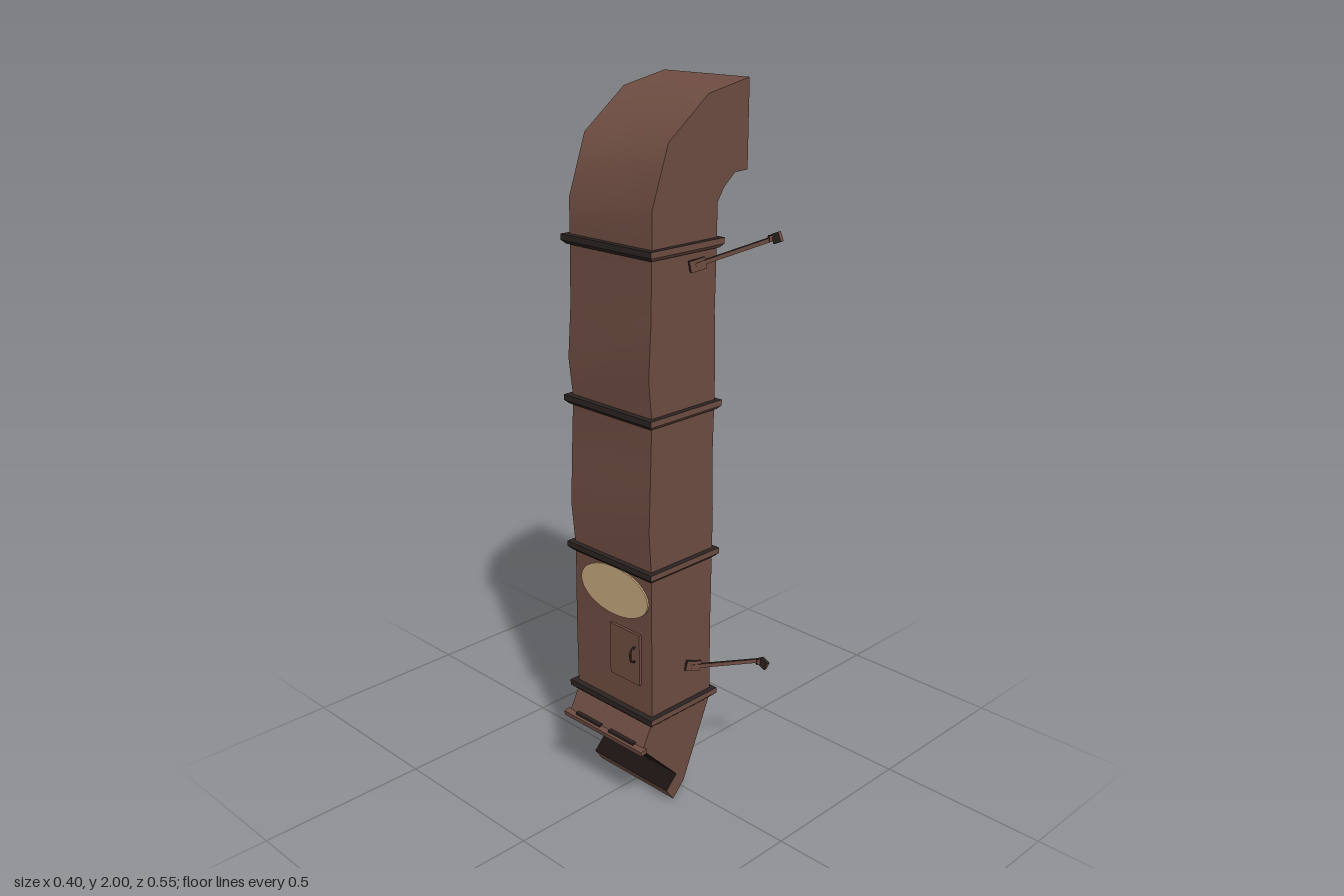
import * as THREE from 'three';
import { toCreasedNormals } from 'three/addons/utils/BufferGeometryUtils.js';

function material(name, color) {
  const m = new THREE.MeshStandardMaterial({ color, side: THREE.DoubleSide });
  m.name = name;
  return m;
}
const brown = material('brown painted metal', 0x6d4c41);
const dark = material('dark metal', 0x2b2321);
const black = material('blackened metal', 0x1b1412);
const tan = material('tan patch', 0xc2a57c);

// Four-cornered cross-section: left and right edge points [x, y], and half depth
const section = (l, r, zf = 0.15, zb = zf) => [
  [l[0], l[1], zf], [r[0], r[1], zf], [r[0], r[1], -zb], [l[0], l[1], -zb],
];
const level = (y, xl, xr, zf, zb) => section([xl, y], [xr, y], zf, zb);

// Open skin through a row of cross-sections
function loft(sections) {
  const pos = [];
  for (let j = 0; j < sections.length - 1; j++) {
    for (let i = 0; i < 4; i++) {
      const k = (i + 1) % 4, s = sections[j], t = sections[j + 1];
      pos.push(...s[i], ...s[k], ...t[k], ...s[i], ...t[k], ...t[i]);
    }
  }
  const g = new THREE.BufferGeometry();
  g.setAttribute('position', new THREE.Float32BufferAttribute(pos, 3));
  return toCreasedNormals(g, 0.7);
}

function add(parent, name, geometry, mat = brown) {
  const m = new THREE.Mesh(geometry, mat);
  m.name = name;
  parent.add(m);
  return m;
}

// Two-colour part: faces whose normal passes the test are brown, the rest take the other colour
function addSplit(parent, name, geometry, isBrown, other = dark) {
  const g = geometry.index ? geometry.toNonIndexed() : geometry;
  const n = g.attributes.normal;
  g.clearGroups();
  for (let i = 0; i < n.count; i += 3) {
    g.addGroup(i, 3, isBrown(n.getX(i), n.getY(i), n.getZ(i)) ? 0 : 1);
  }
  return add(parent, name, g, [brown, other]);
}

function box(parent, name, size, at, mat) {
  const m = add(parent, name, new THREE.BoxGeometry(...size), mat);
  m.position.set(...at);
  return m;
}

// Support strut with a wall plate and an end bracket; side is +1 front, -1 back
function strut(parent, name, side, y0, y1) {
  const g = new THREE.Group();
  g.name = name;
  parent.add(g);
  const slope = Math.sign(y1 - y0);
  const outer = (nx, ny, nz) => nz * side > 0.7;
  const part = (label, size, at) => {
    const m = addSplit(g, label, new THREE.BoxGeometry(...size), outer);
    m.position.set(...at);
    return m;
  };
  const a = new THREE.Vector3(-0.01, y0, 0.163 * side);
  const b = new THREE.Vector3(0.198, y1, 0.248 * side);
  const dir = b.clone().sub(a);
  const mid = a.clone().add(b).multiplyScalar(0.5);
  part('strutRod', [dir.length(), 0.011, 0.008], mid.toArray())
    .quaternion.setFromUnitVectors(new THREE.Vector3(1, 0, 0), dir.normalize());
  part('wallPlate', [0.045, 0.03, 0.009], [-0.003, y0, 0.164 * side])
    .rotation.set(0, -0.35 * side, 0.2 * slope);
  part('wallFoot', [0.02, 0.022, 0.018], [-0.01, y0, 0.153 * side]);
  part('endBracket', [0.011, 0.026, 0.026], [0.19, y1 + 0.003 * slope, 0.26 * side])
    .rotation.x = -0.4 * slope * side;
  part('endPin', [0.022, 0.016, 0.01], [0.188, y1, 0.246 * side])
    .rotation.y = -0.39 * side;
}

export function createModel() {
  const model = new THREE.Group();
  model.name = 'duct';

  // Straight shaft with slightly dented walls
  add(model, 'shaft', loft([
    level(0.28, -0.152, 0.083), level(0.5, -0.152, 0.08, 0.15, 0.153),
    level(0.73, -0.153, 0.083), level(0.86, -0.162, 0.084, 0.15, 0.155),
    level(1.0, -0.156, 0.08, 0.149, 0.155), level(1.17, -0.152, 0.083),
    level(1.28, -0.163, 0.084, 0.15, 0.153), level(1.42, -0.154, 0.08, 0.149, 0.151),
    level(1.6, -0.152, 0.083),
  ]));

  // Open elbow at the top
  add(model, 'elbow', loft([
    section([-0.152, 1.6], [0.083, 1.6]), section([-0.152, 1.705], [0.083, 1.7]),
    section([-0.095, 1.865], [0.107, 1.735]), section([0.045, 1.97], [0.147, 1.768]),
    section([0.195, 2.0], [0.195, 1.77]),
  ]));

  // Stepped joint flanges, dark except on their front and back faces
  [0.295, 0.735, 1.165, 1.6].forEach((y, i) => {
    addSplit(model, 'flange' + (i + 1), loft([
      level(y - 0.015, -0.15, 0.08, 0.148), level(y - 0.015, -0.16, 0.087, 0.156),
      level(y - 0.005, -0.17, 0.095, 0.166), level(y + 0.011, -0.17, 0.095, 0.166),
      level(y + 0.011, -0.15, 0.08, 0.148),
    ]), (nx, ny, nz) => Math.abs(nz) > 0.6);
  });

  // Slanted hopper with a spout lip: brown cheeks and shoulder, blackened underside
  const outline = [[-0.152, 0.285], [-0.188, 0.215], [-0.053, 0.078], [-0.092, 0.038],
    [-0.065, 0.0], [-0.022, 0.045], [0.083, 0.285]];
  const hopper = new THREE.ExtrudeGeometry(
    new THREE.Shape(outline.map(p => new THREE.Vector2(...p))), { depth: 0.3, bevelEnabled: false });
  addSplit(model, 'hopper', hopper.translate(0, 0, -0.15),
    (nx, ny, nz) => Math.abs(nz) > 0.7 || nx < -0.8, black);
  const rim = addSplit(model, 'hopperRim', new THREE.BoxGeometry(0.022, 0.014, 0.318),
    (nx, ny, nz) => nx < 0.7 && ny > -0.7);
  rim.position.set(-0.191, 0.213, 0);
  rim.rotation.z = 0.15;
  for (const z of [-0.068, 0.068]) {
    box(model, 'rimClamp', [0.012, 0.01, 0.1], [-0.189, 0.221, z], dark);
  }

  // Inspection hatch with handle, and the oval patch on the right-hand wall
  box(model, 'hatch', [0.012, 0.155, 0.115], [-0.154, 0.468, 0.052]);
  const handle = new THREE.CatmullRomCurve3([[-0.158, 0.46], [-0.174, 0.465], [-0.174, 0.5], [-0.158, 0.505]]
    .map(([x, y]) => new THREE.Vector3(x, y, 0.092)));
  add(model, 'hatchHandle', new THREE.TubeGeometry(handle, 12, 0.003, 6), dark);
  const patch = add(model, 'ovalPatch', new THREE.CylinderGeometry(1, 1, 0.006, 32), tan);
  patch.scale.set(0.072, 1, 0.132);
  patch.rotation.z = Math.PI / 2;
  patch.position.set(-0.155, 0.647, 0.008);

  // Support struts, mirrored front and back
  for (const side of [1, -1]) {
    const where = side > 0 ? 'front' : 'back';
    strut(model, where + 'UpperStrut', side, 1.555, 1.607);
    strut(model, where + 'LowerStrut', side, 0.415, 0.387);
  }
  return model;
}
